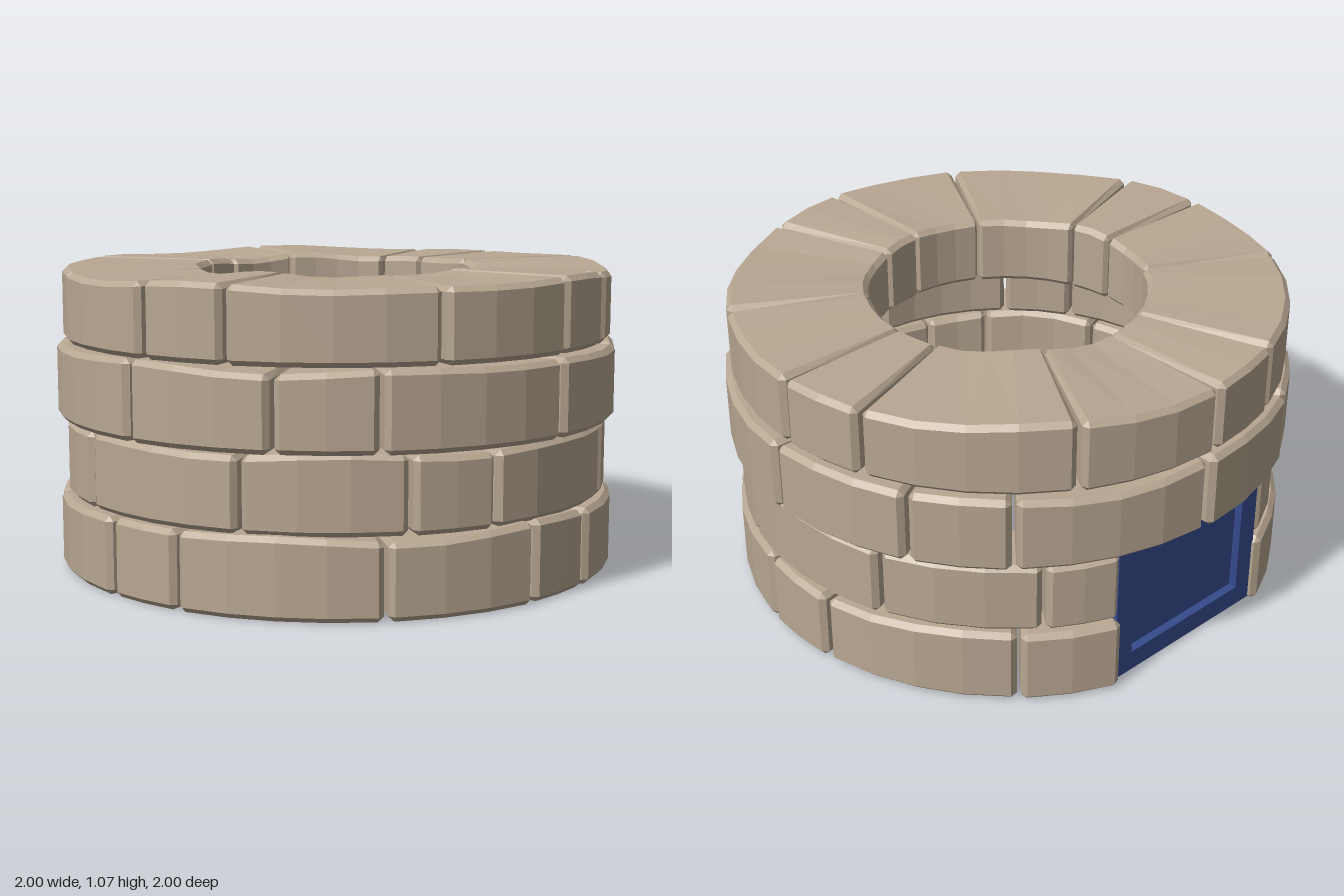
import * as THREE from 'three';

const DEG = Math.PI / 180;

// One stone: a chamfered cross-section swept along an arc, flat shaded
function stoneGeometry(a0, a1, rIn, rOut, y0, y1, wave) {
  const bevel = 0.018;
  const bevelAngle = 0.02;
  const steps = Math.max(2, Math.round((a1 - a0) / (10 * DEG)));
  const stations = [[a0, true]];
  for (let i = 0; i <= steps; i++) {
    stations.push([a0 + bevelAngle + ((a1 - a0 - 2 * bevelAngle) * i) / steps, false]);
  }
  stations.push([a1, true]);

  const rings = stations.map(([a, end]) => {
    const top = y1 + wave(a);
    const b = bevel;
    const i = end ? b : 0; // end sections shrink to form the end chamfer
    const section = [
      [rIn + b, y0 + i], [rOut - b, y0 + i], [rOut - i, y0 + b], [rOut - i, top - b],
      [rOut - b, top - i], [rIn + b, top - i], [rIn + i, top - b], [rIn + i, y0 + b],
    ];
    return section.map(([r, y]) => [r * Math.cos(a), y, r * Math.sin(a)]);
  });

  const pos = [];
  const tri = (...pts) => pts.forEach((p) => pos.push(...p));
  for (let i = 0; i < rings.length - 1; i++) {
    for (let k = 0; k < 8; k++) {
      const n = (k + 1) % 8;
      const [a, b, c, d] = [rings[i][k], rings[i][n], rings[i + 1][n], rings[i + 1][k]];
      tri(a, b, c);
      tri(a, c, d);
    }
  }
  const first = rings[0];
  const last = rings[rings.length - 1];
  for (let k = 1; k < 7; k++) {
    tri(first[0], first[k + 1], first[k]);
    tri(last[0], last[k], last[k + 1]);
  }
  const geo = new THREE.BufferGeometry();
  geo.setAttribute('position', new THREE.Float32BufferAttribute(pos, 3));
  geo.computeVertexNormals();
  return geo;
}

function rect(PathType, w, h) {
  const p = new PathType();
  p.moveTo(-w / 2, -h / 2);
  p.lineTo(w / 2, -h / 2);
  p.lineTo(w / 2, h / 2);
  p.lineTo(-w / 2, h / 2);
  p.closePath();
  return p;
}

export function createModel() {
  const model = new THREE.Group();
  model.name = 'stoneWell';
  const stone = new THREE.MeshStandardMaterial({ color: 0xb8a792 });
  stone.name = 'stone';
  const blue = new THREE.MeshStandardMaterial({ color: 0x354a8c });
  blue.name = 'bluePaint';

  // Courses: joint angles in degrees repeat every quarter turn; gap is the hatch opening
  const courses = [
    { name: 'bottomCourse', y0: 0.005, y1: 0.272, rIn: 0.74, rOut: 0.992, joints: [8.7, 40.5, 81.3], gap: [250, 290] },
    { name: 'secondCourse', y0: 0.275, y1: 0.533, rIn: 0.74, rOut: 0.972, joints: [17.7, 35.6, 68.5], gap: [248.5, 290] },
    { name: 'thirdCourse', y0: 0.54, y1: 0.803, rIn: 0.74, rOut: 1.002, joints: [2, 41.5, 61.5] },
    { name: 'topCourse', y0: 0.812, y1: 1.06, rIn: 0.49, rOut: 0.982, joints: [29.5, 71, 89.5] },
  ];

  courses.forEach((c, level) => {
    const course = new THREE.Group();
    course.name = c.name;
    const wave = (a) => 0.006 * Math.sin(5 * a + level * 2) + 0.005 * Math.sin(8 * a + level);
    const joints = [];
    for (let q = 0; q < 4; q++) c.joints.forEach((j) => joints.push(j + q * 90));
    joints.forEach((start, i) => {
      const end = i + 1 < joints.length ? joints[i + 1] : joints[0] + 360;
      let spans = [[start, end]];
      if (c.gap) {
        // Trim stones that run into the opening
        spans = [[start, Math.min(end, c.gap[0])], [Math.max(start, c.gap[1]), end]];
      }
      spans.filter(([s, e]) => e - s > 4).forEach(([s, e]) => {
        const shift = 0.004 * Math.sin(i * 2.3 + level); // slight unevenness of the masonry
        const geo = stoneGeometry((s + 0.4) * DEG, (e - 0.4) * DEG, c.rIn + shift, c.rOut + shift - 0.003, c.y0, c.y1, wave);
        const mesh = new THREE.Mesh(geo, stone);
        mesh.name = 'stoneBlock';
        course.add(mesh);
      });
    });
    model.add(course);
  });

  // Hatch at the back: a frame around a recessed panel
  const hatch = new THREE.Group();
  hatch.name = 'hatch';
  const w = 0.68;
  const h = 0.515;
  const border = 0.075;
  const frameShape = rect(THREE.Shape, w, h);
  frameShape.holes.push(rect(THREE.Path, w - 2 * border, h - 2 * border));
  const frame = new THREE.Mesh(new THREE.ExtrudeGeometry(frameShape, { depth: 0.03, bevelEnabled: false }), blue);
  frame.name = 'hatchFrame';
  frame.position.z = -0.03;
  const panel = new THREE.Mesh(new THREE.BoxGeometry(w, h, 0.04), blue);
  panel.name = 'hatchPanel';
  panel.position.z = -0.05;
  hatch.add(frame, panel);
  hatch.position.set(0, 0.275, -0.9);
  hatch.rotation.y = Math.PI;
  model.add(hatch);

  return model;
}
